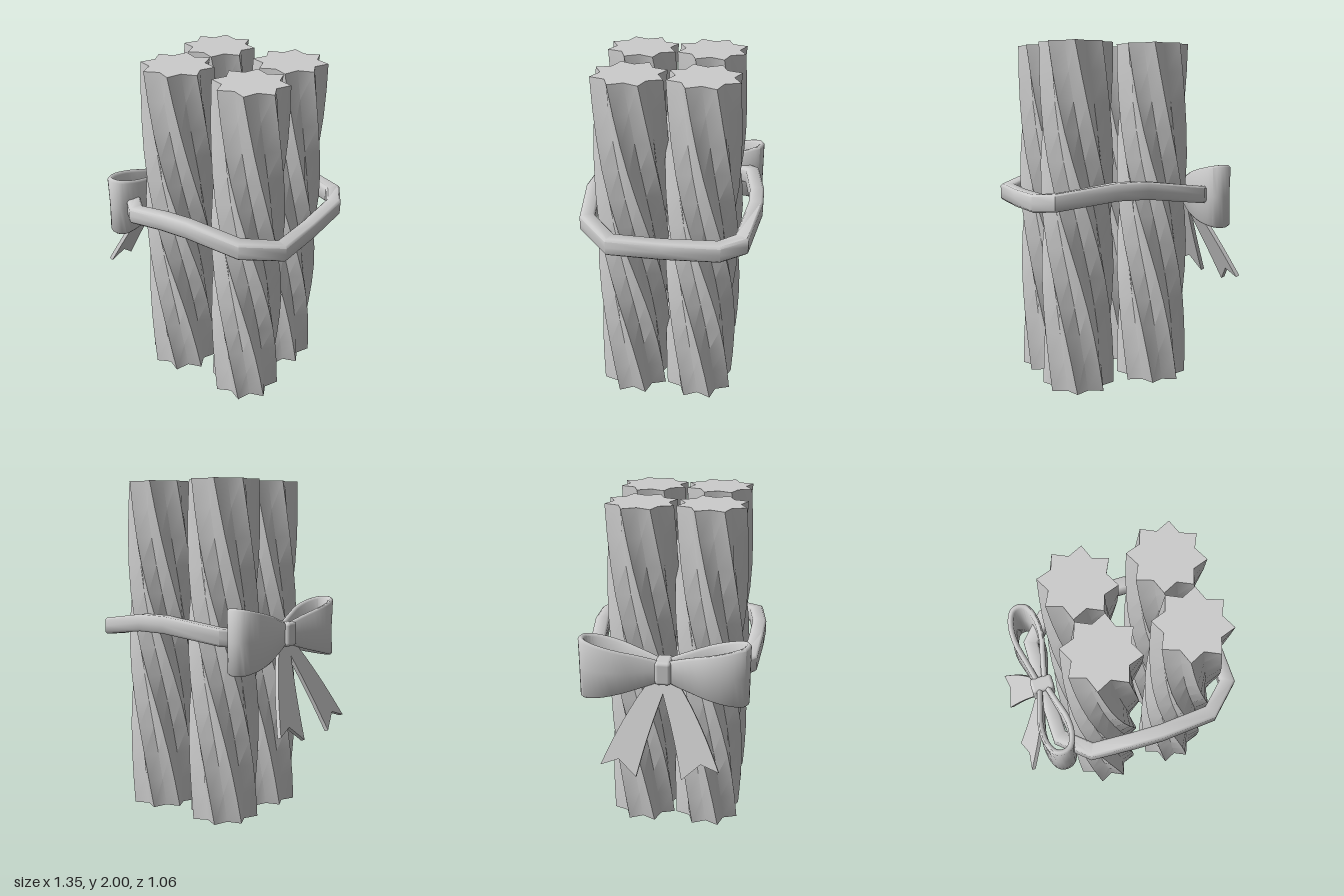
import * as THREE from 'three';
import { toCreasedNormals } from 'three/addons/utils/BufferGeometryUtils.js';
import { RoundedBoxGeometry } from 'three/addons/geometries/RoundedBoxGeometry.js';

const material = new THREE.MeshStandardMaterial({ color: 0xcccccc });
const lerp = THREE.MathUtils.lerp;

// Skin a list of rings (arrays of Vector3), optionally joined end to end or capped
function loft(name, rings, { closed = false, caps = false, crease = 0.85 } = {}) {
  const n = rings[0].length, m = rings.length;
  const points = rings.flat(), index = [];
  const at = (i, j) => (i % m) * n + (j % n);
  for (let i = 0; i < (closed ? m : m - 1); i++) {
    for (let j = 0; j < n; j++) {
      const a = at(i, j), b = at(i, j + 1), c = at(i + 1, j + 1), d = at(i + 1, j);
      index.push(a, b, c, a, c, d);
    }
  }
  if (caps) {
    for (const i of [0, m - 1]) {
      const mid = new THREE.Vector3();
      rings[i].forEach((p) => mid.addScaledVector(p, 1 / n));
      const k = points.push(mid) - 1;
      for (let j = 0; j < n; j++) {
        if (i === 0) index.push(k, at(i, j + 1), at(i, j));
        else index.push(k, at(i, j), at(i, j + 1));
      }
    }
  }
  const geometry = new THREE.BufferGeometry().setFromPoints(points);
  geometry.setIndex(index);
  const mesh = new THREE.Mesh(toCreasedNormals(geometry, crease), material);
  mesh.name = name;
  return mesh;
}

// Sweep an upright, chamfered strap section along a path; shift(q, v) may move each point
function strap(name, path, halfWidth, heightAt, chamfer, closed, shift = null) {
  const m = path.length;
  const up = new THREE.Vector3(0, 1, 0);
  const flat = (a, b) => new THREE.Vector3(b.x - a.x, 0, b.z - a.z).normalize();
  const rings = path.map((p, i) => {
    const prev = path[closed ? (i + m - 1) % m : Math.max(i - 1, 0)];
    const next = path[closed ? (i + 1) % m : Math.min(i + 1, m - 1)];
    const dIn = prev === p ? flat(p, next) : flat(prev, p);
    const dOut = next === p ? dIn : flat(p, next);
    const tangent = dIn.clone().add(dOut).normalize();
    const side = new THREE.Vector3().crossVectors(up, tangent);
    const w = halfWidth / Math.max(0.6, tangent.dot(dIn)), h = heightAt(p), c = chamfer;
    const section = [[w, -h + c], [w, 0], [w, h - c], [w - c, h], [c - w, h],
      [-w, h - c], [-w, 0], [-w, c - h], [c - w, -h], [w - c, -h]];
    return section.map(([u, v]) => {
      const q = p.clone().addScaledVector(side, u);
      q.y += v;
      if (shift) shift(q, v / h);
      return q;
    });
  });
  return loft(name, rings, { closed, caps: !closed });
}

// Eight-pointed star column, twisted by three points over its height, slower near the ends
function column(x, z) {
  const rings = [], steps = 12;
  for (let i = 0; i <= steps; i++) {
    const s = i / steps;
    const twist = 0.75 * Math.PI * (s - (0.25 * Math.sin(2 * Math.PI * s)) / (2 * Math.PI));
    const ring = [];
    for (let j = 0; j < 16; j++) {
      const a = (j * Math.PI) / 8 - twist;
      const r = j % 2 ? 0.21 : 0.155;
      ring.push(new THREE.Vector3(x + r * Math.sin(a), 2 * s, z + r * Math.cos(a)));
    }
    rings.push(ring);
  }
  return loft('twistedColumn', rings, { caps: true, crease: 1.1 });
}

const BOW = new THREE.Vector3(-0.445, 1.115, -0.025);

// Teardrop ribbon loop of the bow, taller at its far end
function bowLoop(dir) {
  const half = [[0.022, 0.02], [0.053, 0.15], [0.081, 0.27], [0.078, 0.38], [0.045, 0.455]];
  const outline = [...half, [0, 0.472], ...half.slice().reverse().map(([x, d]) => [-x, d])];
  const curve = new THREE.CatmullRomCurve3(
    outline.map(([x, d]) => new THREE.Vector3(BOW.x + x, BOW.y, BOW.z + dir * d)));
  const reach = (p) => Math.abs(p.z - BOW.z) / 0.472;
  return strap('bowLoop', curve.getPoints(28), 0.017,
    (p) => lerp(0.05, 0.185, Math.pow(reach(p), 0.8)), 0.012, false,
    (q, v) => { q.x = BOW.x + (q.x - BOW.x) * (0.9 + 0.1 * v * v); });
}

// Flaring ribbon tail with a notched end
function bowTail(dir) {
  const rings = [], steps = 10, across = 8;
  for (let i = 0; i <= steps + 1; i++) {
    const s = Math.min(i / steps, 1);
    const thick = i > steps ? 0 : 0.012;
    const point = (t, k) => {
      const f = s * (1 - 0.12 * (1 - Math.abs(t)) * s * s - 0.05 * t * s);
      const d = lerp(0.01, 0.235, s) + t * lerp(0.03, 0.105, Math.sqrt(s))
        + 0.015 * Math.sin(Math.PI * s);
      return new THREE.Vector3(
        lerp(-0.445, -0.66, f) + k * thick * 0.93,
        lerp(1.09, 0.565, f) - k * thick * 0.37,
        BOW.z + dir * d);
    };
    const ring = [];
    for (let j = 0; j <= across; j++) ring.push(point((2 * j) / across - 1, 1));
    for (let j = across; j >= 0; j--) ring.push(point((2 * j) / across - 1, -1));
    rings.push(dir < 0 ? ring.reverse() : ring);
  }
  return loft('bowTail', rings);
}

export function createModel() {
  const model = new THREE.Group();
  model.name = 'tiedColumns';

  for (const x of [-0.135, 0.345]) for (const z of [-0.193, 0.208]) model.add(column(x, z));

  // Strap around the bundle: x, y, z of its centre line
  const bandPath = [
    [0.13, 1.18, 0.484], [0.45, 1.145, 0.452], [0.62, 1.11, 0.29], [0.625, 1.105, 0],
    [0.62, 1.11, -0.31], [0.55, 1.125, -0.43], [0.23, 1.175, -0.49], [0.05, 1.175, -0.49],
    [-0.31, 1.13, -0.448], [-0.435, 1.11, -0.31], [-0.44, 1.11, 0], [-0.435, 1.11, 0.31],
    [-0.28, 1.12, 0.452], [-0.05, 1.165, 0.476],
  ].map((p) => new THREE.Vector3(...p));
  model.add(strap('band', bandPath, 0.042, () => 0.05, 0.012, true));

  // Bow tied on the side
  const bow = new THREE.Group();
  bow.name = 'bow';
  for (const dir of [-1, 1]) bow.add(bowLoop(dir), bowTail(dir));
  const knot = new THREE.Mesh(new RoundedBoxGeometry(0.135, 0.14, 0.092, 3, 0.02), material);
  knot.name = 'knot';
  knot.position.copy(BOW);
  bow.add(knot);
  model.add(bow);
  return model;
}
